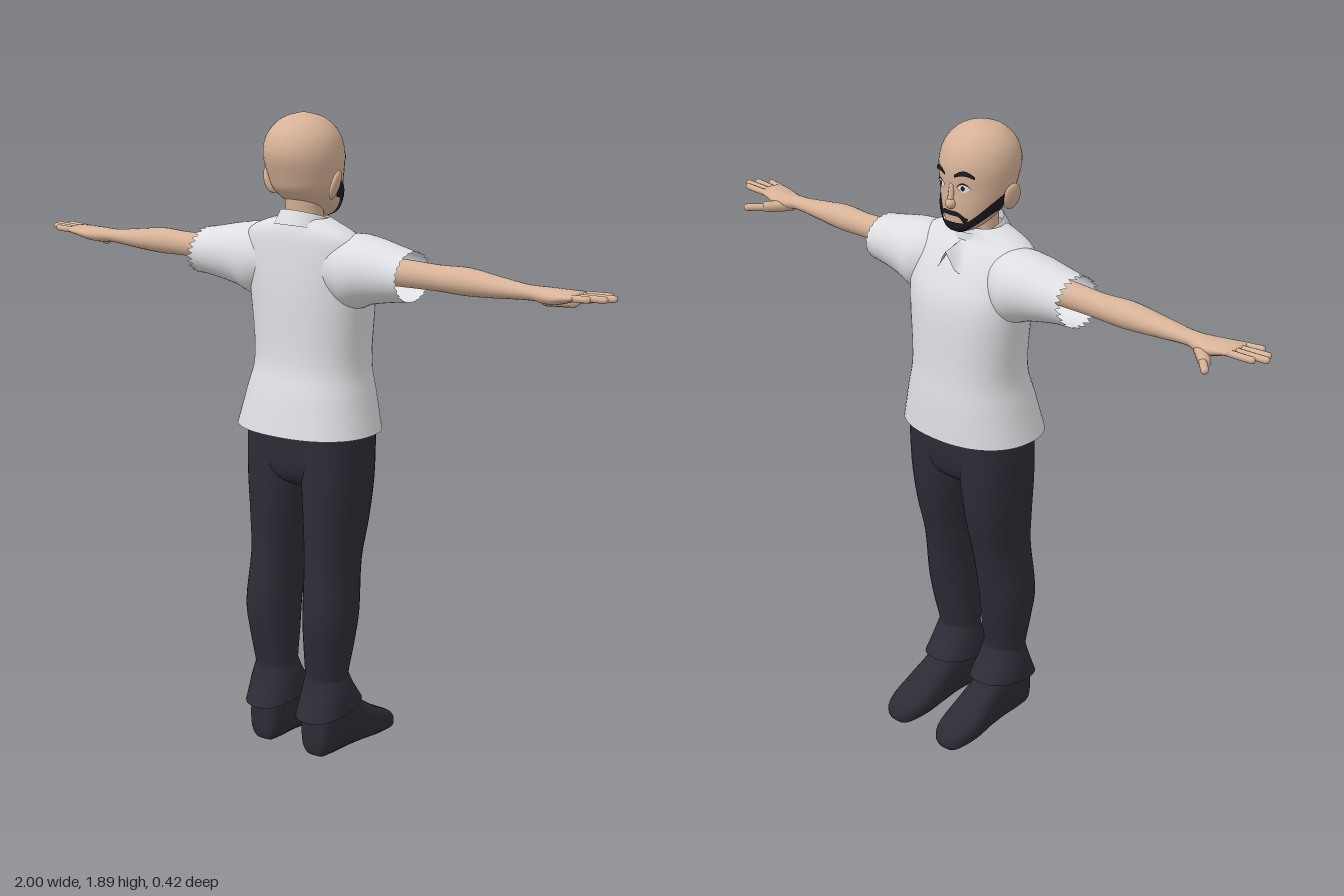
import * as THREE from 'three';
import { mergeVertices } from 'three/addons/utils/BufferGeometryUtils.js';

const mat = (name, color, side = THREE.FrontSide) => {
  const m = new THREE.MeshStandardMaterial({ color, side });
  m.name = name;
  return m;
};

// Smooth surface from a rule (u, v in 0..1) -> [x, y, z]
function grid(nu, nv, fn) {
  const pos = [], idx = [];
  for (let j = 0; j <= nv; j++) for (let i = 0; i <= nu; i++) pos.push(...fn(i / nu, j / nv));
  for (let j = 0; j < nv; j++) for (let i = 0; i < nu; i++) {
    const a = j * (nu + 1) + i, b = a + nu + 1;
    idx.push(a, a + 1, b, a + 1, b + 1, b);
  }
  let g = new THREE.BufferGeometry();
  g.setAttribute('position', new THREE.Float32BufferAttribute(pos, 3));
  g.setIndex(idx);
  g = mergeVertices(g, 1e-5);
  g.computeVertexNormals();
  return g;
}

// Catmull-Rom sample of a table of sections
function sample(rows, v) {
  const f = v * (rows.length - 1), i = Math.min(Math.floor(f), rows.length - 2), t = f - i;
  const p = k => rows[Math.max(0, Math.min(rows.length - 1, k))];
  return rows[0].map((_, c) => {
    const a = p(i - 1)[c], b = p(i)[c], d = p(i + 1)[c], e = p(i + 2)[c];
    return b + 0.5 * t * (d - a + t * (2 * a - 5 * b + 4 * d - e + t * (3 * (b - d) + e - a)));
  });
}
const pow = (x, p) => Math.sign(x) * Math.abs(x) ** p;

// Lofts; sections are [position along axis, centre 1, centre 2, radius 1, radius 2]
function loft(rows, { axis = 'y', p = 1, n = 32, warp = q => q } = {}) {
  return grid(n, (rows.length - 1) * 4, (u, v) => {
    const [h, c1, c2, r1, r2] = sample(rows, v), t = (u % 1) * Math.PI * 2;
    const s = pow(Math.sin(t), p) * Math.max(r1, 0.0005), c = pow(Math.cos(t), p) * Math.max(r2, 0.0005);
    if (axis === 'x') return warp([h, c1 - s, c2 + c], u, v);
    if (axis === 'z') return warp([c1 + s, c2 + c, -h], u, v);
    return warp([c1 + s, h, c2 + c], u, v);
  });
}

function mirror(geo) {
  const g = geo.clone().scale(-1, 1, 1), ix = g.index.array;
  for (let i = 0; i < ix.length; i += 3) [ix[i], ix[i + 1]] = [ix[i + 1], ix[i]];
  return g;
}

function rod(a, b, r, flat = 1) {
  const A = new THREE.Vector3(...a), B = new THREE.Vector3(...b), d = B.clone().sub(A);
  const g = new THREE.CapsuleGeometry(r, d.length(), 5, 10).scale(1, 1, flat);
  const q = new THREE.Quaternion().setFromUnitVectors(new THREE.Vector3(0, 1, 0), d.normalize());
  return g.applyQuaternion(q).translate(...A.add(B).multiplyScalar(0.5).toArray());
}

const ball = (x, y, z, rx, ry, rz) => new THREE.SphereGeometry(1, 20, 14).scale(rx, ry, rz).translate(x, y, z);

const HEAD = [
  [1.597, 0, -0.005, 0.015, 0.02], [1.61, 0, 0, 0.045, 0.045], [1.64, 0, 0.02, 0.075, 0.07],
  [1.68, 0, 0.045, 0.095, 0.098], [1.72, 0, 0.055, 0.106, 0.107], [1.78, 0, 0.063, 0.113, 0.118],
  [1.83, 0, 0.065, 0.103, 0.107], [1.865, 0, 0.065, 0.077, 0.08], [1.885, 0, 0.065, 0.045, 0.047],
  [1.896, 0, 0.065, 0, 0]];

// Thin plate that follows the head; phi = 0 is the middle of the face
function facePatch(phi0, phi1, low, high, off) {
  return grid(24, 6, (u, v) => {
    const phi = phi0 + (phi1 - phi0) * u, y = low(phi, u) + (high(phi, u) - low(phi, u)) * v;
    let a = 0, b = 1;
    for (let k = 0; k < 24; k++) {
      const m = (a + b) / 2;
      if (sample(HEAD, m)[0] < y) a = m; else b = m;
    }
    const [, , cz, rx, rz] = sample(HEAD, a);
    return [(rx + off) * Math.sin(phi), y, cz - (rz + off) * Math.cos(phi)];
  });
}

export function createModel() {
  const root = new THREE.Group();
  const D = THREE.DoubleSide;
  const skin = mat('skin', 0xd6b297), shirt = mat('shirtCloth', 0xdcdee1, D);
  const cloth = mat('trouserCloth', 0x2d2c36, D), leather = mat('shoeLeather', 0x2b2b34);
  const hair = mat('blackHair', 0x1b1b21, D), white = mat('eyeWhite', 0xf4f4f4, D);

  const add = (name, geo, m) => {
    const mesh = new THREE.Mesh(geo, m);
    mesh.name = name;
    root.add(mesh);
  };
  const pair = (name, geo, m) => {
    add(name + 'Right', geo, m);
    add(name + 'Left', mirror(geo), m);
  };

  // Head, neck, nose and ears
  add('head', loft(HEAD, { n: 40 }), skin);
  add('neck', loft([[1.52, 0, 0.06, 0.062, 0.06], [1.6, 0, 0.06, 0.055, 0.052], [1.7, 0, 0.065, 0.058, 0.055]]), skin);
  add('nose', ball(0, 1.685, -0.053, 0.015, 0.016, 0.018), skin);
  add('noseBridge', rod([0, 1.735, -0.048], [0, 1.69, -0.056], 0.009), skin);
  pair('ear', ball(0, 0, 0, 0.011, 0.042, 0.026).rotateZ(-0.3).rotateY(0.3).translate(0.114, 1.702, 0.068), skin);

  // Beard along the jaw, moustache, brows and eyes
  const lerp = THREE.MathUtils.lerp, smooth = THREE.MathUtils.smoothstep;
  add('beard', facePatch(-1.6, 1.6,
    f => lerp(1.598, 1.665, smooth(Math.abs(f), 0.6, 1.6)),
    f => lerp(1.633, 1.715, smooth(Math.abs(f), 0.5, 1.55)), 0.007), hair);
  add('moustache', facePatch(-0.65, 0.65,
    f => 1.652 - 0.022 * smooth(Math.abs(f), 0.25, 0.65),
    f => 1.666 - 0.018 * smooth(Math.abs(f), 0.2, 0.65), 0.006), hair);
  pair('brow', facePatch(0.14, 0.66,
    (f, u) => 1.762 + 0.008 * Math.sin(u * Math.PI),
    (f, u) => 1.77 + 0.014 * Math.sin(u * Math.PI), 0.005), hair);
  const eye = (p0, p1, h, off) => facePatch(p0, p1,
    (f, u) => 1.734 - h * Math.sin(u * Math.PI), (f, u) => 1.734 + h * Math.sin(u * Math.PI), off);
  pair('eyeWhite', eye(0.2, 0.56, 0.013, 0.003), white);
  pair('pupil', eye(0.31, 0.43, 0.008, 0.005), hair);
  pair('upperLid', facePatch(0.18, 0.58, (f, u) => 1.734 + 0.011 * Math.sin(u * Math.PI),
    (f, u) => 1.735 + 0.015 * Math.sin(u * Math.PI), 0.005), hair);

  // Shirt body, open at the hem
  add('shirtBody', loft([
    [0.995, 0, 0.04, 0.22, 0.17], [1.1, 0, 0.03, 0.195, 0.155], [1.2, 0, 0.022, 0.177, 0.137],
    [1.38, 0, 0.025, 0.195, 0.13], [1.47, 0, 0.038, 0.207, 0.112], [1.54, 0, 0.055, 0.2, 0.088],
    [1.575, 0, 0.065, 0.16, 0.07], [1.605, 0, 0.062, 0.075, 0.06]], { p: 0.88, n: 48 }), shirt);

  // Short sleeves with a frayed edge, longer on the right arm
  const SLEEVE = [[0.1, 1.475, 0.05, 0.08, 0.08], [0.17, 1.465, 0.04, 0.105, 0.105], [0.23, 1.472, 0.042, 0.094, 0.1],
    [0.3, 1.472, 0.046, 0.08, 0.088], [0.362, 1.47, 0.048, 0.069, 0.082]];
  const sleeve = (fray, extra) => loft(SLEEVE, { axis: 'x', n: 48, warp: ([x, y, z], u, v) => {
    const k = Math.round(u * 48) % 48, edge = v > 0.99 ? 1 : 0;
    return [x + edge * (fray * (k % 2) + extra * Math.max(0, 1.5 - y) * 3), y, z];
  } });
  add('sleeveLeft', sleeve(0.006, 0), shirt);
  add('sleeveRight', mirror(sleeve(0.02, 0.06)), shirt);

  // Collar stand and folded collar with two points at the front
  add('collarStand', loft([[1.565, 0, 0.06, 0.078, 0.075], [1.61, 0, 0.06, 0.068, 0.068]],
    { warp: ([x, y, z]) => [x, y + (z - 0.06) * 0.3, z] }), shirt);
  pair('collarFold', grid(28, 6, (u, v) => {
    const t = Math.PI * (1 - u), s = Math.sin(t), c = Math.cos(t);
    const drop = 0.04 + 0.04 * Math.exp(-(((u - 0.14) / 0.12) ** 2)) - 0.03 * (1 - smooth(u, 0, 0.09));
    const flare = (1 - v) * (0.022 + 0.045 * Math.max(0, -c));
    return [(0.068 + flare * 0.8) * s, 1.61 + 0.3 * 0.07 * c - 0.02 * Math.max(0, -c) - drop * (1 - v),
      0.06 + (0.07 + flare) * c];
  }), shirt);

  // Bare arms and hands
  pair('arm', loft([
    [0.2, 1.48, 0.055, 0.042, 0.042], [0.36, 1.48, 0.055, 0.038, 0.037], [0.46, 1.479, 0.053, 0.036, 0.036],
    [0.55, 1.48, 0.055, 0.038, 0.042], [0.64, 1.477, 0.058, 0.03, 0.036], [0.73, 1.475, 0.058, 0.021, 0.028],
    [0.78, 1.475, 0.057, 0.02, 0.028]], { axis: 'x', n: 20 }), skin);
  pair('palm', loft([
    [0.755, 1.475, 0.057, 0.018, 0.025], [0.79, 1.473, 0.055, 0.022, 0.036], [0.83, 1.474, 0.058, 0.021, 0.046],
    [0.87, 1.48, 0.064, 0.016, 0.046], [0.9, 1.484, 0.067, 0.01, 0.042], [0.905, 1.484, 0.067, 0, 0]], { axis: 'x', n: 20 }), skin);
  [[0.965, 0.029, 0.032], [0.991, 0.054, 0.053], [0.978, 0.08, 0.074], [0.942, 0.104, 0.095]].forEach(([tip, z, base], i) =>
    pair('finger' + (i + 1), rod([0.87, 1.482, base], [tip, 1.486, z], 0.0095), skin));
  pair('thumbBase', rod([0.79, 1.462, 0.045], [0.84, 1.457, 0.0], 0.021, 0.8), skin);
  pair('thumb', rod([0.83, 1.457, 0.005], [0.88, 1.458, -0.05], 0.011), skin);

  // Trousers: seat, legs and flared cuffs
  add('trouserSeat', loft([
    [0.82, 0, 0.035, 0.03, 0.05], [0.85, 0, 0.035, 0.13, 0.1], [0.9, 0, 0.033, 0.187, 0.12],
    [1.0, 0, 0.03, 0.191, 0.126], [1.08, 0, 0.03, 0.17, 0.115]], { p: 0.85 }), cloth);
  pair('trouserLeg', loft([
    [0.15, 0.095, 0.08, 0.058, 0.06], [0.25, 0.095, 0.08, 0.062, 0.061], [0.35, 0.102, 0.078, 0.068, 0.08],
    [0.45, 0.107, 0.075, 0.073, 0.093], [0.6, 0.1, 0.057, 0.07, 0.099], [0.72, 0.1, 0.042, 0.08, 0.112],
    [0.85, 0.1, 0.034, 0.092, 0.12], [1.0, 0.1, 0.03, 0.092, 0.123]], { p: 0.92 }), cloth);
  pair('trouserCuff', loft([
    [0.26, 0.095, 0.08, 0.06, 0.06], [0.21, 0.096, 0.077, 0.073, 0.078], [0.15, 0.096, 0.07, 0.079, 0.114]].reverse(),
    { p: 0.85, warp: ([x, y, z]) => [x, y - (z - 0.07) * 0.15, z] }), cloth);

  // Shoes, lofted from heel to toe with a flat sole
  pair('shoe', loft([
    [-0.153, 0.098, 0.09, 0, 0], [-0.15, 0.098, 0.09, 0.042, 0.07], [-0.11, 0.098, 0.1, 0.054, 0.09],
    [-0.03, 0.1, 0.1, 0.055, 0.092], [0.03, 0.1, 0.08, 0.059, 0.074], [0.1, 0.102, 0.055, 0.064, 0.051],
    [0.16, 0.103, 0.038, 0.058, 0.035], [0.195, 0.104, 0.027, 0.038, 0.025], [0.208, 0.104, 0.022, 0, 0]],
    { axis: 'z', p: 0.75, n: 28, warp: ([x, y, z]) => [x, Math.max(y, 0.004 + Math.max(0, z) * 0.1), z] }), leather);

  // Centre on the frame with the soles on the ground
  const box = new THREE.Box3().setFromObject(root);
  root.children.forEach(m => m.geometry.translate(0, -box.min.y, 0));
  return root;
}
